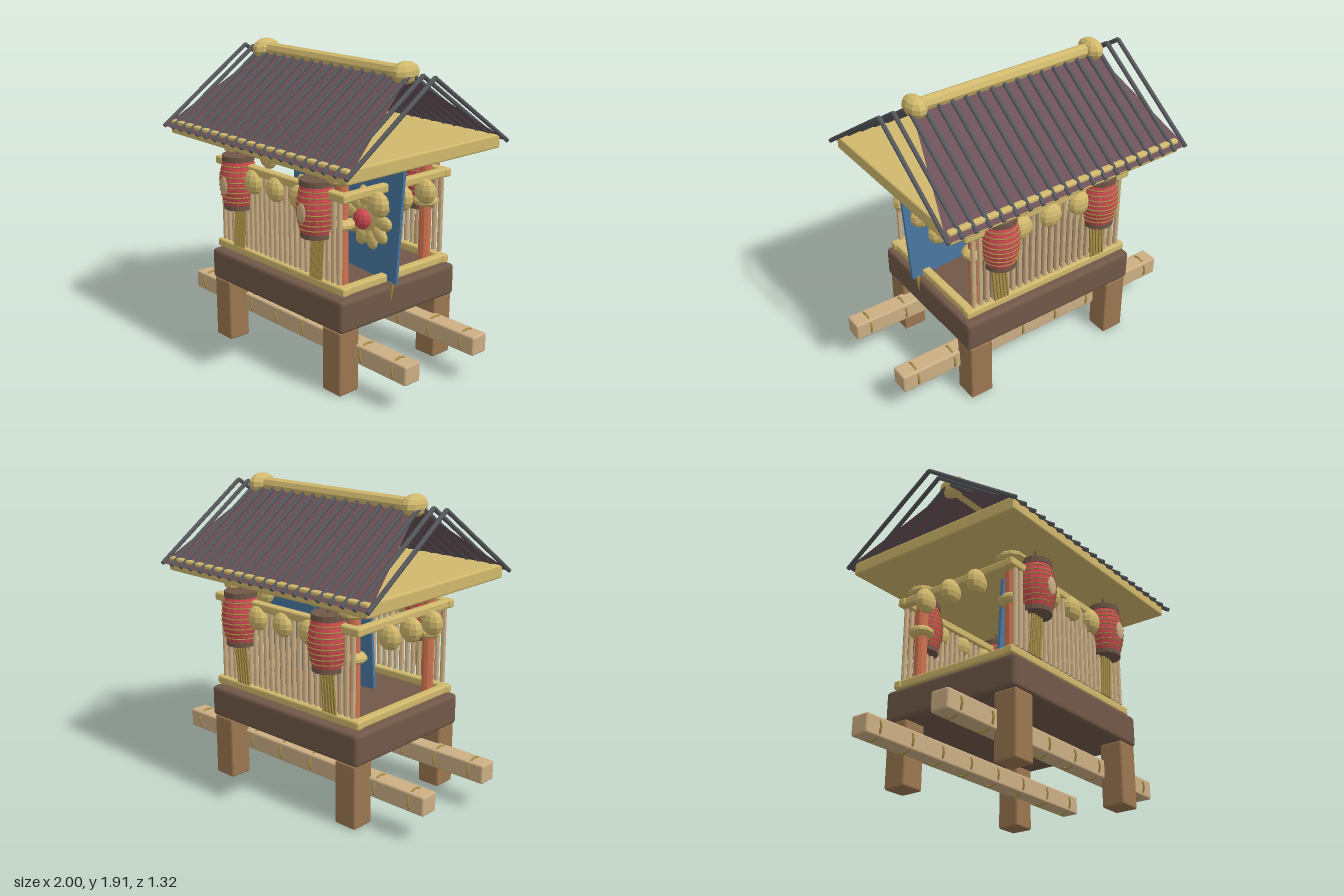
import * as THREE from 'three';
import { RoundedBoxGeometry } from 'three/addons/geometries/RoundedBoxGeometry.js';

export function createModel() {
  const model = new THREE.Group();
  model.name = 'festivalFloat';
  const mat = (name, color, extra = {}) => {
    const m = new THREE.MeshStandardMaterial({ color, flatShading: true, ...extra });
    m.name = name;
    return m;
  };
  const gold = mat('gold', 0xd0b86c);
  const darkGold = mat('darkGold', 0xa48d45);
  const brown = mat('darkBrown', 0x705848);
  const wood = mat('legWood', 0x9a7650);
  const tan = mat('paleWood', 0xcbae84);
  const blue = mat('blue', 0x4a78a2);
  const red = mat('red', 0xcc4a50);
  const orange = mat('orange', 0xd07350);
  const plum = mat('roofPlum', 0x6c5157, { side: THREE.DoubleSide });
  const grey = mat('roofGrey', 0x56575c);

  const add = (name, geo, m, x = 0, y = 0, z = 0, parent = model) => {
    const mesh = new THREE.Mesh(geo, m);
    mesh.name = name;
    mesh.position.set(x, y, z);
    parent.add(mesh);
    return mesh;
  };
  const rbox = (w, h, d, r = 0.012) => new RoundedBoxGeometry(w, h, d, 2, r);
  const blob = (a, b, c) => new THREE.SphereGeometry(1, 10, 7).scale(a, b, c);
  const signs = [-1, 1];

  // Base, legs and carrying poles
  add('base', rbox(1.24, 0.2, 0.95, 0.025), brown, 0, 0.495, 0);
  for (const s of signs) {
    for (const x of signs) add('leg', rbox(0.155, 0.4, 0.15), wood, x * 0.525, 0.2, s * 0.395);
    add('carryingPole', rbox(2, 0.12, 0.12), tan, 0, 0.237, s * 0.285);
    for (let i = 0; i < 8; i++)
      add('poleBand', new THREE.TorusGeometry(0.069, 0.007, 6, 16).rotateY(Math.PI / 2),
        darkGold, -0.9 + i * 1.8 / 7, 0.237, s * 0.285);
  }

  // Railings with upright slats at front and back, open at the sides
  for (const s of signs) {
    for (const y of [0.635, 1.185]) {
      add('longRail', rbox(1.2, 0.052, 0.055), gold, 0, y, s * 0.413);
      add('sideRail', rbox(0.055, 0.052, 0.88), gold, s * 0.565, y, 0);
    }
    for (let i = 0; i < 24; i++)
      add('slat', new THREE.CylinderGeometry(0.0155, 0.0155, 0.5, 8), tan,
        -0.54 + i * 1.08 / 23, 0.92, s * 0.418);
  }

  // Corner pillars with gold collars
  for (const x of signs) for (const z of signs) {
    add('pillar', new THREE.CylinderGeometry(0.038, 0.038, 0.68, 10), orange, x * 0.48, 0.93, z * 0.345);
    add('pillarCap', blob(0.095, 0.038, 0.095), gold, x * 0.48, 1.268, z * 0.345);
    add('pillarCollar', blob(0.078, 0.04, 0.078), gold, x * 0.48, 1.0, z * 0.345);
  }

  // Gold bells hung around the top rail
  for (const s of signs) for (const i of [-1, 0, 1]) {
    add('bell', blob(0.076, 0.077, 0.05), gold, i * 0.215, 1.115, s * 0.435);
    add('bell', blob(0.076, 0.077, 0.05), gold, s * 0.615, 1.115, i * 0.195);
  }

  // Ribbed lanterns with tassels
  const bulge = t => 0.092 + 0.027 * Math.sin(Math.PI * t);
  const profile = Array.from({ length: 11 }, (_, i) => new THREE.Vector2(bulge(i / 10), -0.145 + 0.029 * i));
  function lantern(x, z) {
    const g = new THREE.Group();
    g.name = 'lantern';
    g.position.set(x, 1.09, z);
    add('lanternBody', new THREE.LatheGeometry(profile, 16), red, 0, 0, 0, g);
    for (let i = 1; i < 9; i++)
      add('lanternRib', new THREE.TorusGeometry(bulge(i / 9), 0.0045, 5, 20).rotateX(Math.PI / 2),
        darkGold, 0, -0.145 + 0.29 * i / 9, 0, g);
    add('lanternTop', new THREE.CylinderGeometry(0.1, 0.1, 0.035, 16), brown, 0, 0.155, 0, g);
    add('lanternBottom', new THREE.CylinderGeometry(0.096, 0.096, 0.03, 16), brown, 0, -0.152, 0, g);
    add('lanternCord', new THREE.CylinderGeometry(0.007, 0.007, 0.12, 6), brown, 0, 0.225, 0, g);
    for (let i = 0; i < 9; i++) {
      const strand = add('tasselStrand', new THREE.CylinderGeometry(0.0075, 0.0075, 0.27, 5), darkGold,
        (i - 4) * 0.0115, -0.295, (i % 2) * 0.006, g);
      strand.rotation.z = -0.08;
    }
    if (z > 0) add('lanternBadge', blob(0.038, 0.06, 0.012), tan, 0, -0.01, 0.114, g);
    model.add(g);
  }
  for (const x of signs) for (const z of signs) lantern(x * 0.365, z * 0.435);

  // Two leaning blue screens, each with a flower and a tassel
  for (const x of [-0.02, 0.455]) {
    const screen = new THREE.Group();
    screen.name = 'screen';
    screen.position.set(x, 0.985, 0.08);
    screen.rotation.z = -0.07;
    add('screenPanel', new THREE.BoxGeometry(0.465, 0.71, 0.02), blue, 0, 0, 0, screen);
    for (let i = 0; i < 10; i++) {
      const a = i * Math.PI / 5;
      const petal = add('petal', blob(0.07, 0.045, 0.028), gold,
        0.125 * Math.cos(a), 0.125 * Math.sin(a), 0.035, screen);
      petal.rotation.z = a;
    }
    add('flowerDisc', blob(0.1, 0.1, 0.028), gold, 0, 0, 0.035, screen);
    add('flowerHeart', blob(0.062, 0.062, 0.045), red, 0, 0, 0.085, screen);
    add('screenTassel', new THREE.ConeGeometry(0.016, 0.16, 8).rotateX(Math.PI), darkGold, 0.195, -0.43, 0, screen);
    model.add(screen);
  }

  // Roof: eave slab, two tapered slopes, battens and ridge
  add('eaveSlab', rbox(1.63, 0.085, 1.235, 0.012), gold, 0, 1.388, 0);
  const slopeLength = Math.hypot(0.45, 0.65), pitch = Math.atan2(0.65, 0.45);
  for (const s of signs) {
    const slope = new THREE.BufferGeometry();
    slope.setAttribute('position', new THREE.Float32BufferAttribute([
      -0.845, 1.39, s * 0.645, 0.845, 1.39, s * 0.645, 0.64, 1.825, 0, -0.64, 1.825, 0], 3));
    slope.setIndex(s > 0 ? [0, 1, 2, 0, 2, 3] : [0, 2, 1, 0, 3, 2]);
    slope.computeVertexNormals();
    add('roofSlope', slope, plum);
    for (let i = 0; i < 20; i++) {
      const batten = add('roofBatten', new THREE.CylinderGeometry(0.0135, 0.0135, slopeLength, 8), grey,
        -0.84 + i * 1.68 / 19, 1.615, s * 0.325);
      batten.rotation.x = -s * pitch;
    }
    add('ridgeEnd', blob(0.062, 0.066, 0.098), gold, s * 0.62, 1.84, 0);
  }
  add('ridgeBeam', new THREE.CylinderGeometry(0.042, 0.042, 1.24, 8).rotateZ(Math.PI / 2), gold, 0, 1.84, 0);

  return model;
}
